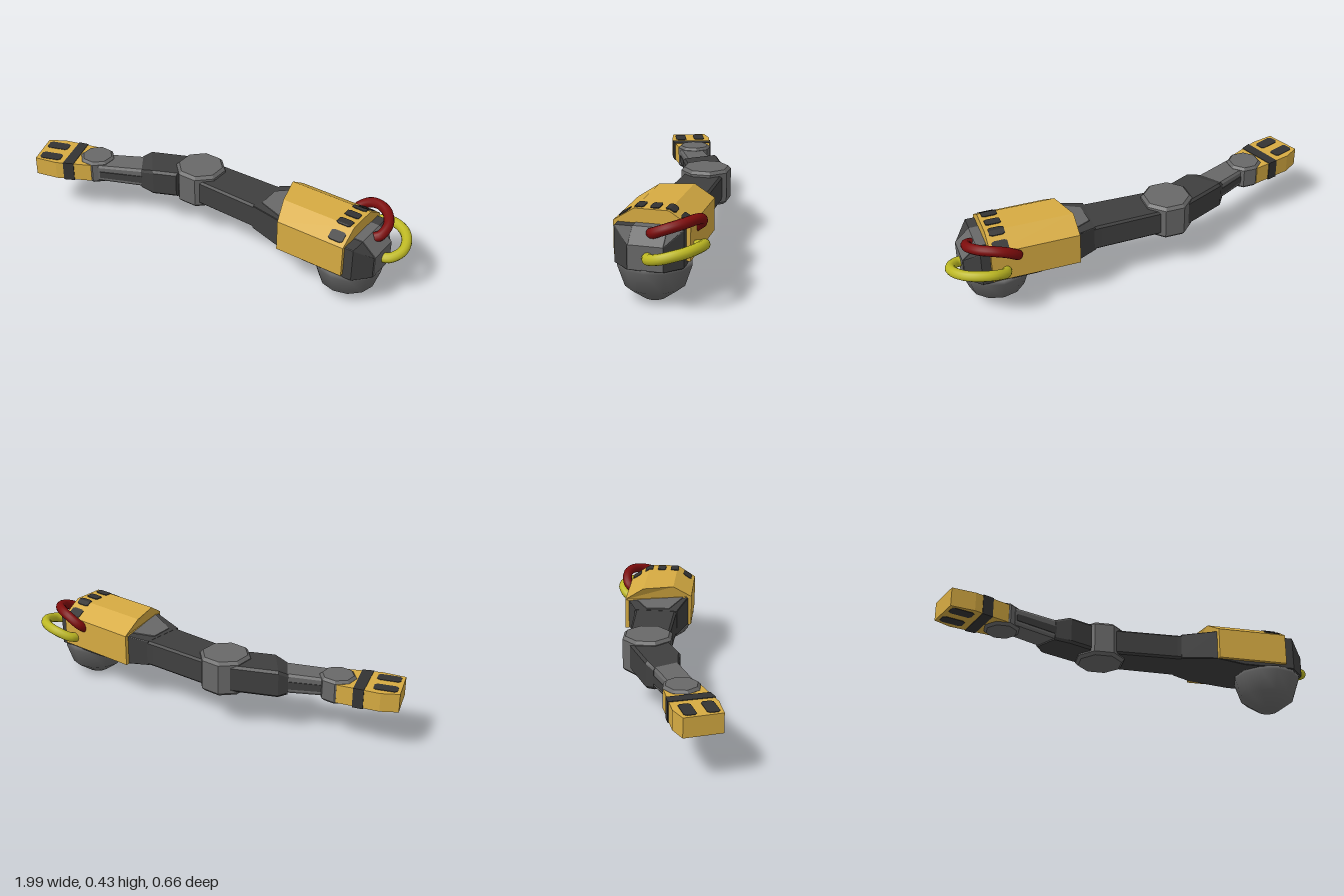
import * as THREE from 'three';

const mat = (name, color, extra = {}) => {
  const m = new THREE.MeshStandardMaterial({ color, ...extra });
  m.name = name;
  return m;
};

export function createModel() {
  const root = new THREE.Group();
  root.name = 'mechanicalArm';

  const yellow = mat('armourYellow', 0xd6ab42);
  const grey = mat('jointGrey', 0x686868);
  const dark = mat('frameDark', 0x3f3f3f);
  const black = mat('ventBlack', 0x333333);
  const red = mat('cableRed', 0x7d0c0c);
  const lime = mat('cableLime', 0xbdb823);

  const add = (name, geo, material) => {
    const mesh = new THREE.Mesh(geo, material);
    mesh.name = name;
    root.add(mesh);
    return mesh;
  };
  const flat = (geo) => {
    const g = geo.index ? geo.toNonIndexed() : geo;
    g.computeVertexNormals();
    return g;
  };

  // Bevelled beam through sections [backX, backZ, frontX, frontZ, y0, y1], ordered by rising x
  function beam(sections, c = 0.06, cy = 0.012) {
    const pos = [], idx = [];
    for (const [bx, bz, fx, fz, y0, y1] of sections) {
      const ring = [[0, y0 + cy], [0, y1 - cy], [c, y1], [1 - c, y1],
        [1, y1 - cy], [1, y0 + cy], [1 - c, y0], [c, y0]];
      for (const [t, y] of ring) pos.push(bx + (fx - bx) * t, y, bz + (fz - bz) * t);
    }
    const last = (sections.length - 1) * 8;
    for (let i = 0; i < last; i += 8) {
      for (let j = 0; j < 8; j++) {
        const k = (j + 1) % 8;
        idx.push(i + j, i + k, i + 8 + j, i + k, i + 8 + k, i + 8 + j);
      }
    }
    for (let j = 1; j < 7; j++) {
      idx.push(0, j + 1, j);
      idx.push(last, last + j, last + j + 1);
    }
    const g = new THREE.BufferGeometry();
    g.setAttribute('position', new THREE.Float32BufferAttribute(pos, 3));
    g.setIndex(idx);
    return flat(g);
  }

  // Upright prism from a plan outline of [x, z] points
  function prism(points, y0, y1) {
    const shape = new THREE.Shape(points.map(([x, z]) => new THREE.Vector2(x, -z)));
    const g = new THREE.ExtrudeGeometry(shape, { depth: y1 - y0, bevelEnabled: false });
    return g.rotateX(-Math.PI / 2).translate(0, y0, 0);
  }

  // Eight-sided bevelled joint
  function joint(name, x, z, half, y0, y1, b) {
    const r = half / Math.cos(Math.PI / 8);
    const profile = [[0, y0], [r - b, y0], [r, y0 + b], [r, y1 - b], [r - b, y1], [0, y1]]
      .map(([px, py]) => new THREE.Vector2(px, py));
    const g = flat(new THREE.LatheGeometry(profile, 8).rotateY(Math.PI / 8));
    add(name, g, grey).position.set(x, 0, z);
  }

  // Shoulder ball: lower half only, smooth
  const ball = [[0, 0], [0.053, 0.001], [0.138, 0.063], [0.172, 0.165], [0.17, 0.185], [0, 0.2]]
    .map(([x, y]) => new THREE.Vector2(x, y));
  add('shoulderBall', new THREE.LatheGeometry(ball, 12), grey).position.set(0.738, 0, -0.066);

  // Shoulder block with a chamfered outer end
  add('shoulderBlock', beam([
    [0.26, -0.18, 0.25, 0.042, 0.205, 0.338],
    [0.36, -0.225, 0.43, 0.09, 0.2, 0.355],
    [0.57, -0.225, 0.57, 0.09, 0.18, 0.355],
    [0.835, -0.225, 0.835, 0.09, 0.18, 0.355],
    [0.905, -0.153, 0.905, 0.01, 0.18, 0.292],
  ], 0.01, 0.003), dark);
  add('shoulderEndPlate', beam([
    [0.78, -0.153, 0.78, 0.005, 0.185, 0.358],
    [0.837, -0.153, 0.837, 0.005, 0.185, 0.358],
    [0.909, -0.153, 0.909, 0.005, 0.185, 0.295],
  ], 0.005, 0.001), grey);
  add('shoulderSlopePlate', beam([
    [0.27, -0.12, 0.275, 0.0, 0.25, 0.345],
    [0.362, -0.18, 0.425, 0.065, 0.25, 0.359],
  ], 0.005, 0.001), grey);

  // Armour cover: inverted U, front edge cut at a slant
  const outline = [[0.108, 0.2], [0.108, 0.36], [0.012, 0.422], [-0.145, 0.422], [-0.243, 0.36],
    [-0.243, 0.2], [-0.222, 0.2], [-0.222, 0.354], [0.09, 0.354], [0.09, 0.2]];
  const coverShape = new THREE.Shape(outline.map(([z, y]) => new THREE.Vector2(-z, y)));
  const cover = new THREE.ExtrudeGeometry(coverShape, { depth: 1, bevelEnabled: false });
  cover.rotateY(Math.PI / 2);
  const cp = cover.attributes.position;
  for (let i = 0; i < cp.count; i++) {
    const z = cp.getZ(i);
    const start = z < -0.14 ? 0.356 : 0.356 + (z + 0.14) * 0.31;
    cp.setX(i, start + (0.79 - start) * cp.getX(i));
  }
  add('shoulderCover', flat(cover), yellow);

  // Row of vents folded over the cover
  const coverY = (z) => 0.422 - Math.max(0, z - 0.012, -0.145 - z) * 0.64;
  for (const z0 of [-0.215, -0.147, -0.075, -0.003, 0.07]) {
    const g = new THREE.BoxGeometry(0.075, 0.004, 0.044, 2, 1, 8);
    const p = g.attributes.position;
    for (let i = 0; i < p.count; i++) {
      const z = p.getZ(i), taper = Math.abs(z) > 0.02 ? 0.65 : 1;
      p.setXYZ(i, 0.735 + p.getX(i) * taper, coverY(z0 + z) + 0.002 + p.getY(i), z0 + z);
    }
    add('coverVent', flat(g), black);
  }

  // Upper arm and elbow
  add('upperArm', beam([
    [-0.12, -0.172, -0.12, 0.028, 0.205, 0.337],
    [0.23, -0.18, 0.23, 0.038, 0.205, 0.337],
    [0.3, -0.185, 0.3, 0.045, 0.205, 0.337],
  ], 0.05, 0.01), dark);
  joint('elbowJoint', -0.153, -0.073, 0.119, 0.183, 0.364, 0.015);

  // Forearm: dark sleeve, slimmer grey rod with recessed side bands
  add('forearmSleeve', beam([
    [-0.49, -0.015, -0.41, 0.1, 0.215, 0.322],
    [-0.46, -0.055, -0.33, 0.1, 0.205, 0.345],
    [-0.2, -0.17, -0.22, 0.05, 0.205, 0.345],
  ]), dark);
  add('forearmRod', beam([
    [-0.67, 0.08, -0.62, 0.195, 0.228, 0.318],
    [-0.48, -0.015, -0.4, 0.094, 0.222, 0.324],
  ]), grey);
  add('forearmSideBands', beam([
    [-0.66, 0.072, -0.61, 0.195, 0.25, 0.285],
    [-0.48, -0.019, -0.4, 0.098, 0.245, 0.285],
  ], 0.001, 0.001), dark);
  joint('wristJoint', -0.678, 0.129, 0.083, 0.212, 0.334, 0.013);

  // Hand block with wrap-around stripe and finger patches above and below
  add('hand', prism([[-1, 0.155], [-0.925, 0.105], [-0.72, 0.05], [-0.63, 0.17],
    [-0.655, 0.215], [-0.82, 0.3], [-0.935, 0.327]], 0.225, 0.32), yellow);
  add('handStripe', prism([[-0.85, 0.08], [-0.8, 0.066], [-0.733, 0.259], [-0.783, 0.285]],
    0.222, 0.323), black);
  for (const [x, z] of [[-0.917, 0.168], [-0.88, 0.265]]) {
    const patch = prism([[-0.057, -0.018], [-0.045, -0.029], [0.045, -0.029], [0.057, -0.018],
      [0.057, 0.018], [0.045, 0.029], [-0.045, 0.029], [-0.057, 0.018]], 0.2225, 0.3225);
    const mesh = add('fingerPatch', patch, black);
    mesh.position.set(x, 0, z);
    mesh.rotation.y = 0.35;
  }

  // Looping cables behind the shoulder
  const cable = (name, points, material) => {
    const curve = new THREE.CatmullRomCurve3(points.map((p) => new THREE.Vector3(...p)));
    add(name, new THREE.TubeGeometry(curve, 40, 0.025, 12), material);
  };
  cable('redCable', [[0.85, 0.335, -0.085], [0.872, 0.345, -0.1], [0.878, 0.37, -0.16],
    [0.84, 0.387, -0.225], [0.78, 0.39, -0.262], [0.72, 0.375, -0.273],
    [0.67, 0.34, -0.258], [0.66, 0.315, -0.225]], red);
  cable('limeCable', [[0.88, 0.242, -0.085], [0.93, 0.245, -0.09], [0.968, 0.262, -0.145],
    [0.96, 0.28, -0.21], [0.92, 0.29, -0.265], [0.86, 0.293, -0.298],
    [0.79, 0.285, -0.305], [0.73, 0.258, -0.27], [0.72, 0.245, -0.22]], lime);

  return root;
}
